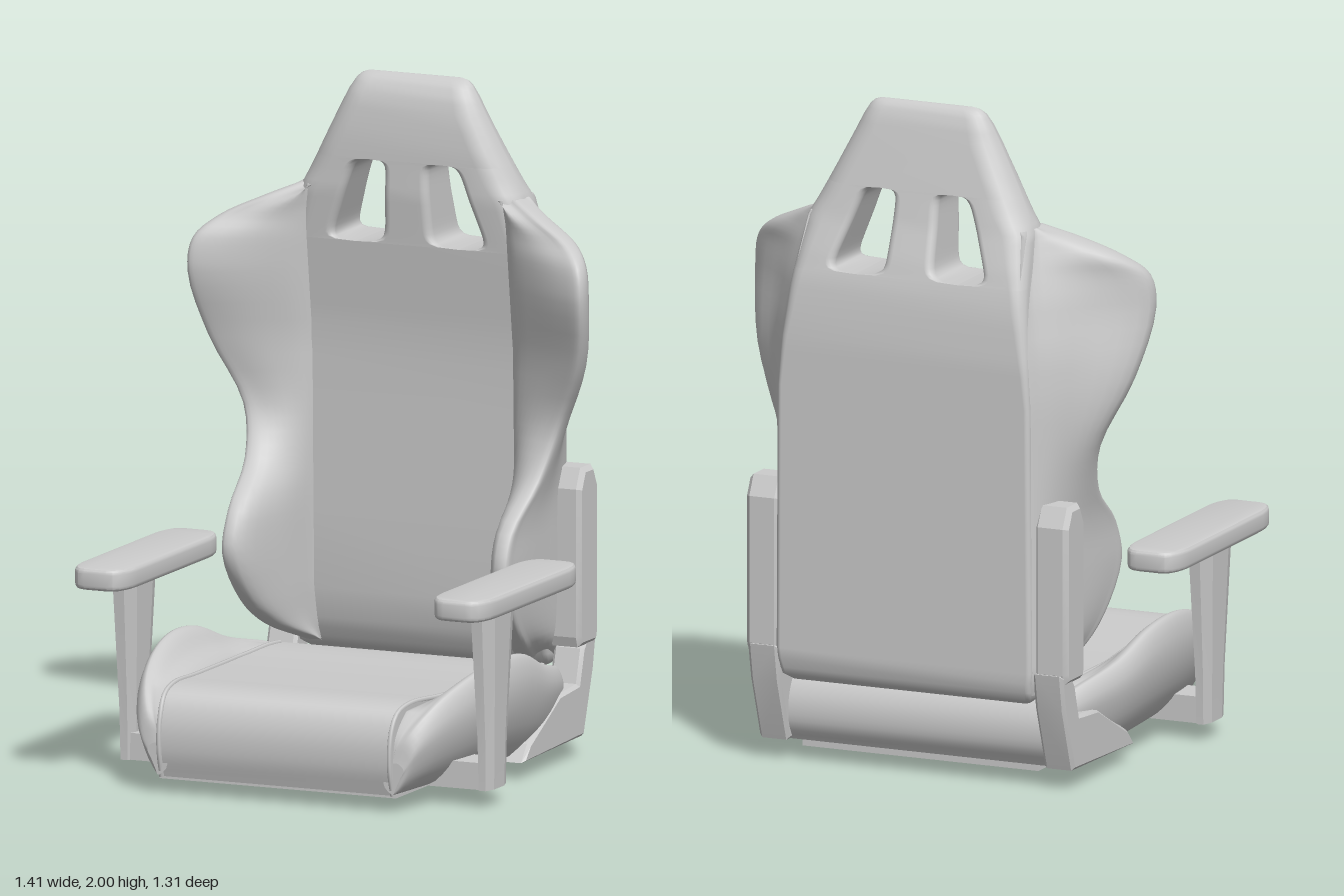
import * as THREE from 'three';
import { toCreasedNormals } from 'three/addons/utils/BufferGeometryUtils.js';

const V = (x, y, z) => new THREE.Vector3(x, y, z);
const material = new THREE.MeshStandardMaterial({ color: 0xcccccc, side: THREE.DoubleSide });

// Linear lookup in a table of [key, value] pairs with rising keys
function at(table, k) {
  let i = 1;
  while (i < table.length - 1 && k > table[i][0]) i++;
  const [a, b] = [table[i - 1], table[i]];
  const t = THREE.MathUtils.clamp((k - a[0]) / (b[0] - a[0]), 0, 1);
  return a[1] + (b[1] - a[1]) * t;
}

// Closed skin over equal-length rings, with flat caps, always facing outward
function loft(rings) {
  const n = rings[0].length, pos = [], idx = [];
  const push = p => pos.push(p.x, p.y, p.z) / 3 - 1;
  rings.forEach(r => r.forEach(push));
  for (let i = 0; i < rings.length - 1; i++)
    for (let j = 0; j < n; j++) {
      const a = i * n + j, b = i * n + (j + 1) % n;
      idx.push(a, b, b + n, a, b + n, a + n);
    }
  [rings[0], rings[rings.length - 1]].forEach((r, end) => {
    const c = push(r.reduce((s, p) => s.add(p), V(0, 0, 0)).divideScalar(n));
    const first = r.map(push)[0];
    for (let j = 0; j < n; j++) {
      const a = first + j, b = first + (j + 1) % n;
      end ? idx.push(c, a, b) : idx.push(c, b, a);
    }
  });
  const p = i => V(pos[i * 3], pos[i * 3 + 1], pos[i * 3 + 2]);
  let volume = 0;
  for (let i = 0; i < idx.length; i += 3) volume += p(idx[i]).dot(p(idx[i + 1]).cross(p(idx[i + 2])));
  if (volume < 0) idx.reverse();
  const g = new THREE.BufferGeometry();
  g.setAttribute('position', new THREE.Float32BufferAttribute(pos, 3));
  g.setIndex(idx);
  g.computeVertexNormals();
  return g;
}

// Side outline in (z, y) extruded across x0..x1
function sidePlate(points, x0, x1, bevel = 0) {
  const shape = new THREE.Shape(points.map(p => new THREE.Vector2(...p)));
  const g = new THREE.ExtrudeGeometry(shape, {
    depth: x1 - x0 - 2 * bevel, bevelEnabled: bevel > 0, bevelSize: bevel,
    bevelThickness: bevel, bevelOffset: -bevel, bevelSegments: 1 });
  return g.rotateY(-Math.PI / 2).translate(x1 - bevel, 0, 0);
}

// Backrest tables by height: front depth, rear depth, half width, corner radius
const front = [[0.26, -0.5], [0.28, -0.47], [0.34, -0.44], [0.45, -0.415], [1.2, -0.4], [1.5, -0.36], [1.65, -0.343],
  [1.8, -0.343], [1.9, -0.352], [1.95, -0.366], [1.98, -0.385], [1.993, -0.402], [2, -0.42]];
const rear = [[0.26, -0.55], [0.28, -0.58], [0.33, -0.596], [1.3, -0.6], [1.45, -0.587], [1.55, -0.562], [1.65, -0.53],
  [1.8, -0.497], [1.9, -0.475], [1.95, -0.463], [1.98, -0.45], [1.993, -0.439], [2, -0.425]];
const half = [[0.26, 0.38], [0.28, 0.4], [0.36, 0.41], [1.15, 0.405], [1.3, 0.395], [1.45, 0.38], [1.65, 0.358],
  [1.8, 0.281], [1.9, 0.23], [1.95, 0.204], [1.98, 0.185], [1.993, 0.17], [2, 0.15]];
const round = [[0.26, 0.015], [1.2, 0.015], [1.5, 0.045], [1.7, 0.08], [1.9, 0.075], [2, 0.05]];

// Horizontal rounded section of the backrest between x0 and x1
function section(y, x0, x1, r0, r1) {
  const zf = at(front, y), zb = at(rear, y), ring = [];
  const corner = (x, z, sx, sz, r, start) => {
    const rz = Math.min(r, (zf - zb) * 0.48);
    for (let k = 0; k <= 5; k++) {
      const a = start + k * Math.PI / 10;
      ring.push(V(x - sx * r + r * Math.cos(a), y, z - sz * rz + rz * Math.sin(a)));
    }
  };
  corner(x1, zf, 1, 1, r1, 0);
  corner(x0, zf, -1, 1, r0, Math.PI / 2);
  corner(x0, zb, -1, -1, r0, Math.PI);
  corner(x1, zb, 1, -1, r1, Math.PI * 1.5);
  return ring;
}

export function createModel() {
  const model = new THREE.Group();
  model.name = 'gamingChairSeat';
  const chair = new THREE.Group();
  chair.name = 'chair';
  chair.rotation.y = -0.16;
  chair.position.set(0.031, 0, 0.004);
  model.add(chair);
  const add = (name, geometry) => {
    const mesh = new THREE.Mesh(geometry, material);
    mesh.name = name;
    chair.add(mesh);
  };
  const pair = (name, geometry) => {
    add(name + 'Left', geometry);
    const flipped = geometry.clone().scale(-1, 1, 1);
    if (!flipped.index) flipped.setIndex([...Array(flipped.attributes.position.count).keys()]);
    flipped.index.array.reverse();
    add(name + 'Right', flipped);
  };

  // Backrest slab and headrest
  const H0 = 1.5, H1 = 1.75;
  const fullRing = y => section(y, -at(half, y), at(half, y), at(round, y), at(round, y));
  add('backrest', loft([0.26, 0.27, 0.28, 0.3, 0.33, 0.36, 0.45, 0.7, 1, 1.15, 1.25, 1.3, 1.38, 1.45, H0].map(fullRing)));
  add('headrest', loft([H1, 1.8, 1.85, 1.9, 1.93, 1.95, 1.97, 1.98, 1.987, 1.993, 1.997, 2].map(fullRing)));

  // Pillars around the two belt openings
  const rows = [...Array(17).keys()].map(i => (H0 + H1) / 2 - (H1 - H0) / 2 * Math.cos(Math.PI * i / 16));
  const opening = y => {
    const t = (y - H0) / (H1 - H0);
    const open = Math.pow(Math.max(0, 1 - Math.pow(2 * t - 1, 8)), 0.25);
    const a = 0.078 - 0.01 * t, b = 0.252 - 0.09 * t, mid = (a + b) / 2, w = (b - a) / 2 * open;
    return { inner: mid - w, outer: mid + w, r: 0.025 * open };
  };
  add('headrestMiddlePillar', loft(rows.map(y => {
    const o = opening(y);
    return section(y, -o.inner, o.inner, o.r, o.r);
  })));
  pair('headrestSidePillar', loft(rows.map(y => {
    const o = opening(y);
    return section(y, o.outer, at(half, y), o.r, at(round, y));
  })));

  // Backrest wings: shoulder and waist bolsters follow one curve of tips and wrap the rear corner
  const tips = new THREE.CatmullRomCurve3([
    V(0.36, 0.29, -0.44), V(0.415, 0.36, -0.27), V(0.44, 0.45, -0.15), V(0.455, 0.6, -0.06), V(0.455, 0.72, -0.1),
    V(0.47, 0.85, -0.25), V(0.505, 1, -0.315), V(0.592, 1.2, -0.265), V(0.63, 1.4, -0.2), V(0.618, 1.5, -0.21),
    V(0.56, 1.56, -0.26), V(0.45, 1.615, -0.31), V(0.345, 1.66, -0.37)]).getPoints(48);
  pair('backrestWing', loft(tips.map(T => {
    const y = T.y, bw = at(half, y), r = at(round, y);
    const root = V(Math.min(0.325, bw - 0.04), y, at(front, y) + 0.004);
    const side = V(bw + 0.02 * THREE.MathUtils.clamp((1.55 - y) * 4, 0, 1), y, at(rear, y) + 0.045 + r * 0.5);
    const back = V(bw - 0.015, y, at(rear, y) + r * 0.3);
    const inward = V(T.x - 0.045, y, T.z - 0.006), outward = V(T.x + 0.004, y, T.z - 0.055);
    const innerMid = root.clone().lerp(inward, 0.5).add(V(-0.008, 0, 0.012));
    const outerMid = outward.clone().lerp(side, 0.5).add(V(0.008 - 0.15 * Math.max(0, T.x - 0.45), 0, 0));
    const inside = V(Math.min(0.3, bw - 0.07), y, (root.z + back.z) / 2);
    return new THREE.CatmullRomCurve3([root, innerMid, inward, T, outward, outerMid, side, back, inside], true,
      'centripetal').getPoints(36).slice(0, 36);
  })));

  // Seat cushion, wider toward the rear, with a roll at each end
  const seatHalf = z => THREE.MathUtils.lerp(0.43, 0.378, THREE.MathUtils.clamp((z + 0.1) / 0.65, 0, 1));
  const profile = new THREE.CatmullRomCurve3([
    V(0, 0.05, 0.54), V(0, 0.13, 0.56), V(0, 0.22, 0.555), V(0, 0.285, 0.52), V(0, 0.307, 0.45), V(0, 0.3, 0.25),
    V(0, 0.288, -0.1), V(0, 0.285, -0.36), V(0, 0.265, -0.455), V(0, 0.2, -0.5), V(0, 0.12, -0.505), V(0, 0.06, -0.475)])
    .getPoints(44);
  const cushion = sidePlate(profile.map(p => [p.z, p.y]).reverse(), -1, 1);
  const cp = cushion.attributes.position;
  for (let i = 0; i < cp.count; i++) cp.setX(i, cp.getX(i) * seatHalf(cp.getZ(i)));
  add('seatCushion', toCreasedNormals(cushion, 0.6));

  // Piping between the cushion and its bolsters
  const pipe = new THREE.CatmullRomCurve3(profile.slice(0, 30).map(p => V(seatHalf(p.z) - 0.007, p.y, p.z)));
  pair('seatPiping', new THREE.TubeGeometry(pipe, 60, 0.008, 6));

  // Seat bolsters follow a crest line
  const crest = new THREE.CatmullRomCurve3([
    V(0.39, 0.15, 0.552), V(0.425, 0.23, 0.535), V(0.47, 0.31, 0.45), V(0.51, 0.37, 0.3), V(0.53, 0.398, 0.13),
    V(0.53, 0.385, -0.03), V(0.51, 0.325, -0.2), V(0.47, 0.285, -0.38), V(0.44, 0.26, -0.45)]).getPoints(36);
  pair('seatBolster', loft(crest.map(c => {
    const w = seatHalf(c.z), z = c.z, low = 0.055;
    const ys = Math.min(0.285, c.y - 0.01), span = c.y - low;
    const ring = [[w - 0.012, ys], [(w + c.x) / 2 - 0.01, (ys + c.y) / 2], [c.x - 0.025, c.y - 0.006], [c.x, c.y],
      [c.x + 0.022, c.y - 0.2 * span], [c.x + 0.01, c.y - 0.5 * span],
      [w + (c.x - w) * 0.65, low + 0.18 * span], [w, low], [w - 0.03, low + 0.3 * span]];
    return new THREE.CatmullRomCurve3(ring.map(([x, y]) => V(x, y, z)), true, 'centripetal').getPoints(30).slice(0, 30);
  })));

  // Underside plate and shallow mounting pyramid
  add('basePlate', new THREE.BoxGeometry(0.76, 0.03, 1.01).translate(0, 0.057, 0.03));
  const square = (h, y) => [[1, 1], [-1, 1], [-1, -1], [1, -1]].map(([x, z]) => V(x * h - 0.028, y, z * h + 0.01));
  add('mountingPlate', toCreasedNormals(
    loft([square(0.218, 0.045), square(0.218, 0.02), square(0.2, 0.014), square(0.04, 0)]), 0.2));

  // Armrests: pad, tapered post and bar to the seat
  const hw = 0.079, hl = 0.342, c = 0.045;
  const padShape = new THREE.Shape();
  padShape.moveTo(-hw, -hl + 2 * c);
  padShape.quadraticCurveTo(-hw + 0.005, -hl, -hw + c, -hl).lineTo(hw - c, -hl);
  padShape.quadraticCurveTo(hw - 0.005, -hl, hw, -hl + 2 * c).lineTo(hw, hl - 2 * c);
  padShape.quadraticCurveTo(hw - 0.005, hl, hw - c, hl).lineTo(-hw + c, hl);
  padShape.quadraticCurveTo(-hw + 0.005, hl, -hw, hl - 2 * c);
  const pad = new THREE.ExtrudeGeometry(padShape, {
    depth: 0.035, bevelSize: 0.013, bevelThickness: 0.015, bevelSegments: 3, curveSegments: 5 });
  pair('armPad', toCreasedNormals(pad.rotateX(-Math.PI / 2).translate(0.578, 0.6, 0.205), 0.5));
  const postRing = (y, t, d) => [[1, 0.5], [0.5, 1], [-0.5, 1], [-1, 0.5], [-1, -0.5], [-0.5, -1], [0.5, -1], [1, -0.5]]
    .map(([x, z]) => V(0.576 + x * t / 2, y, 0.29 + z * d / 2));
  pair('armPost', toCreasedNormals(
    loft([postRing(0.6, 0.072, 0.225), postRing(0.2, 0.05, 0.15), postRing(0.05, 0.045, 0.14)]), 0.3));
  pair('armBar', new THREE.BoxGeometry(0.25, 0.08, 0.12).translate(0.455, 0.09, 0.29));

  // Recliner hinge brackets and upright covers
  pair('hingeBracket', toCreasedNormals(sidePlate([[-0.5, 0.06], [-0.08, 0.05], [-0.12, 0.1], [-0.33, 0.21],
    [-0.46, 0.22], [-0.49, 0.32], [-0.52, 0.355], [-0.585, 0.36], [-0.565, 0.25]].reverse(), 0.41, 0.507, 0.01), 0.3));
  pair('hingeCover', toCreasedNormals(sidePlate([[-0.565, 0.33], [-0.455, 0.33], [-0.445, 0.36], [-0.445, 0.8],
    [-0.475, 0.86], [-0.545, 0.86], [-0.575, 0.8], [-0.575, 0.36]], 0.41, 0.518, 0.014), 0.3));

  return model;
}
